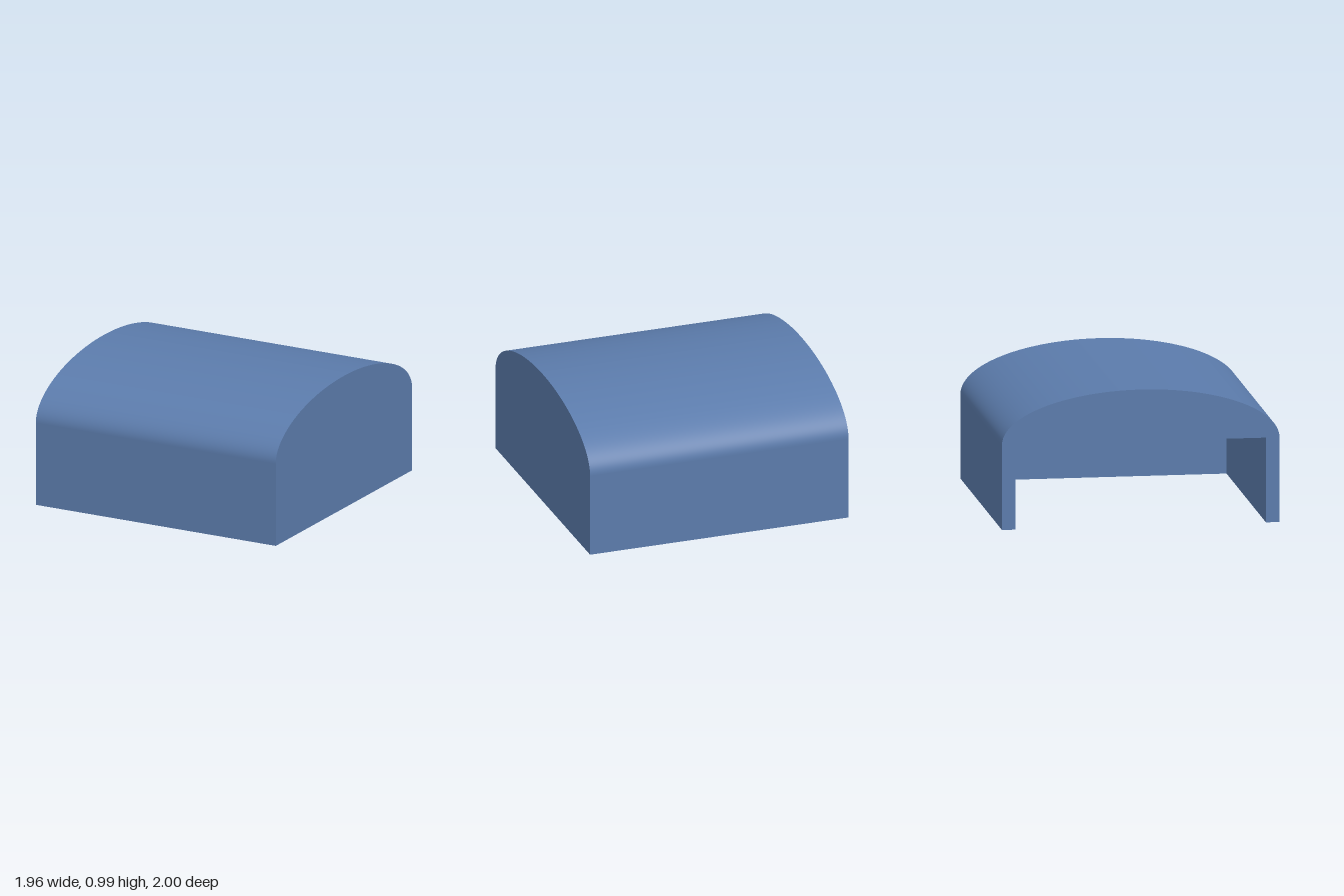
import * as THREE from 'three';
import { toCreasedNormals } from 'three/addons/utils/BufferGeometryUtils.js';

const WIDTH = 1.955, DEPTH = 2, EAVE = 0.615, RISE = 0.375, WALL = 0.098;

export function createModel() {
  const group = new THREE.Group();
  group.name = 'vaultedShelter';
  const material = new THREE.MeshStandardMaterial({ color: 0x5b7bab });

  const add = (name, geometry, x, y, z) => {
    const mesh = new THREE.Mesh(geometry, material);
    mesh.name = name;
    mesh.position.set(x, y, z);
    group.add(mesh);
  };

  // solid roof: half ellipse with a flat ceiling, running along x
  const profile = new THREE.Shape();
  profile.moveTo(DEPTH / 2, 0);
  profile.absellipse(0, 0, DEPTH / 2, RISE, 0, Math.PI, false);
  profile.closePath();
  const roof = new THREE.ExtrudeGeometry(profile, { depth: WIDTH, bevelEnabled: false, curveSegments: 64 });
  roof.translate(0, 0, -WIDTH / 2);
  roof.rotateY(Math.PI / 2);
  add('roof', toCreasedNormals(roof, Math.PI / 6), 0, EAVE, 0);

  // front and back walls
  for (const [name, side] of [['frontWall', 1], ['backWall', -1]]) {
    add(name, new THREE.BoxGeometry(WIDTH, EAVE, WALL), 0, EAVE / 2, side * (DEPTH - WALL) / 2);
  }

  // closed end wall between them; the opposite end stays open
  add('endWall', new THREE.BoxGeometry(WALL, EAVE, DEPTH - 2 * WALL), (WIDTH - WALL) / 2, EAVE / 2, 0);

  return group;
}
